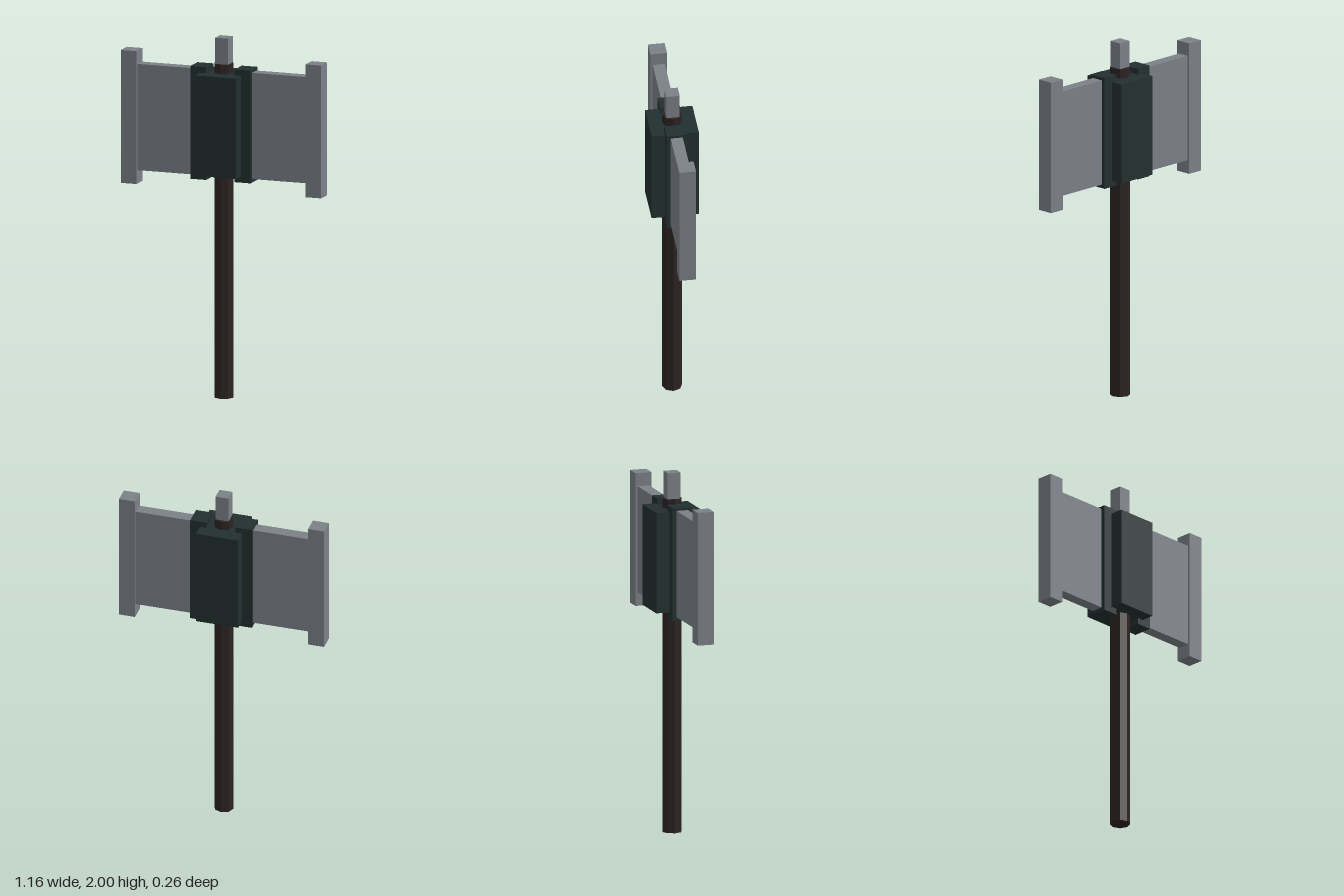
import * as THREE from 'three';

export function createModel() {
  const model = new THREE.Group();
  const material = (name, color) => {
    const m = new THREE.MeshStandardMaterial({ color });
    m.name = name;
    return m;
  };
  const steel = material('steel', 0x7c8188);
  const darkIron = material('darkIron', 0x22302f);
  const wood = material('darkWood', 0x2d2323);

  // Box given by its extents in x and y and its full depth, centred on z = 0
  const box = (name, mat, x0, x1, y0, y1, depth) => {
    const mesh = new THREE.Mesh(new THREE.BoxGeometry(x1 - x0, y1 - y0, depth), mat);
    mesh.position.set((x0 + x1) / 2, (y0 + y1) / 2, 0);
    mesh.name = name;
    model.add(mesh);
  };

  // Octagonal handle running through the head
  const handleGeometry = new THREE.CylinderGeometry(0.055, 0.055, 1.855, 8).toNonIndexed();
  handleGeometry.computeVertexNormals();
  const handle = new THREE.Mesh(handleGeometry, wood);
  handle.position.y = 1.855 / 2;
  handle.name = 'handle';
  model.add(handle);

  // Head block and the spike on top
  box('headBlock', darkIron, -0.12, 0.12, 1.245, 1.803, 0.26);
  box('topSpike', steel, -0.037, 0.037, 1.75, 2, 0.074);

  // Bracket, blade and edge bar on each side
  for (const [side, s] of [['left', 1], ['right', -1]]) {
    const part = (name, mat, a, b, y0, y1, depth) =>
      box(side + name, mat, Math.min(a * s, b * s), Math.max(a * s, b * s), y0, y1, depth);
    part('Bracket', darkIron, 0.083, 0.175, 1.21, 1.836, 0.11);
    part('Blade', steel, 0.1, 0.5, 1.23, 1.82, 0.066);
    part('EdgeBar', steel, 0.491, 0.582, 1.155, 1.893, 0.092);
  }
  return model;
}
